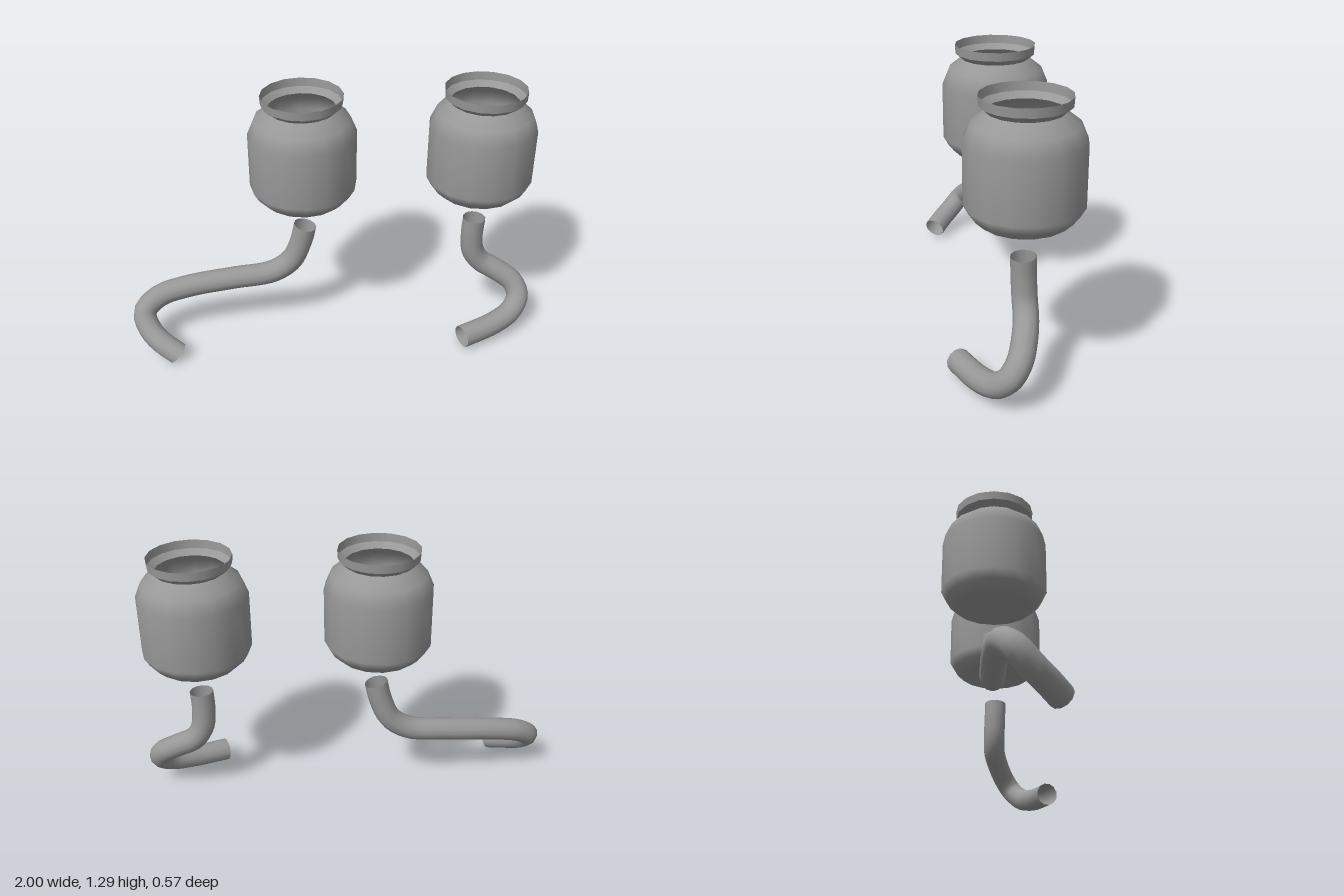
import * as THREE from 'three';

const material = new THREE.MeshStandardMaterial({ color: 0x989898, side: THREE.DoubleSide });

function lathe(name, profile) {
  const points = profile.map(([r, y]) => new THREE.Vector2(r, y));
  const mesh = new THREE.Mesh(new THREE.LatheGeometry(points, 16), material);
  mesh.name = name;
  return mesh;
}

// Open thin-walled jar: rounded body, narrow neck, flared collar and rim band
function makeJar(name, x) {
  const jar = new THREE.Group();
  jar.name = name;
  jar.add(
    lathe('jarBody', [[0, 0.734], [0.165, 0.757], [0.192, 0.763], [0.228, 0.798], [0.252, 0.84],
      [0.252, 1.105], [0.222, 1.175], [0.159, 1.225]]),
    lathe('jarCollar', [[0.159, 1.225], [0.187, 1.25]]),
    lathe('jarRim', [[0.187, 1.25], [0.19, 1.29]]),
  );
  jar.position.set(x, 0, -0.032);
  return jar;
}

// Open bent pipe swept along a smooth centre line
function makePipe(name, path) {
  const curve = new THREE.CatmullRomCurve3(path.map(p => new THREE.Vector3(...p)), false, 'centripetal');
  const mesh = new THREE.Mesh(new THREE.TubeGeometry(curve, 40, 0.056, 12, false), material);
  mesh.name = name;
  return mesh;
}

export function createModel() {
  const model = new THREE.Group();
  model.name = 'jarsAndPipes';

  model.add(makeJar('rightJar', -0.138), makeJar('leftJar', 0.702));

  // Long pipe running sideways, then hooking forward
  model.add(makePipe('rightPipe', [
    [-0.133, 0.60, -0.03], [-0.157, 0.50, -0.033], [-0.205, 0.395, -0.036], [-0.30, 0.33, -0.035],
    [-0.50, 0.305, -0.03], [-0.72, 0.28, -0.015], [-0.87, 0.245, 0.01], [-0.943, 0.185, 0.055],
    [-0.915, 0.12, 0.12], [-0.86, 0.085, 0.175], [-0.782, 0.055, 0.23],
  ]));

  // Short pipe with an outward S-bend
  model.add(makePipe('leftPipe', [
    [0.703, 0.597, -0.03], [0.70, 0.50, -0.033], [0.713, 0.40, -0.036], [0.755, 0.335, -0.035],
    [0.84, 0.285, -0.015], [0.92, 0.23, 0.018], [0.943, 0.17, 0.06], [0.90, 0.113, 0.112],
    [0.80, 0.082, 0.168], [0.625, 0.066, 0.24],
  ]));

  return model;
}
